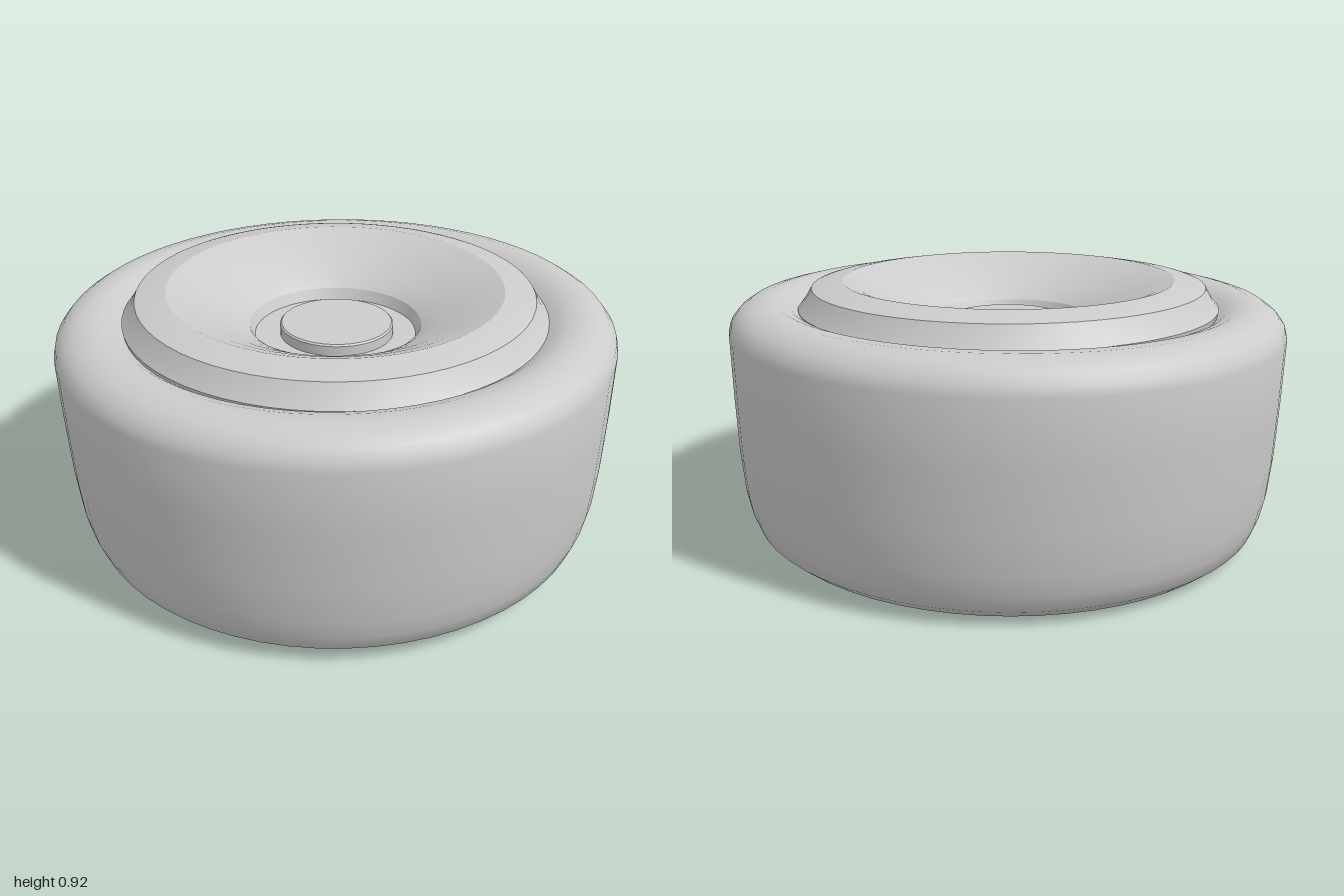
import * as THREE from 'three';
import { toCreasedNormals } from 'three/addons/utils/BufferGeometryUtils.js';

const SEGMENTS = 64;

// Revolve a [radius, height] profile, keeping edges sharper than the crease angle
function revolve(name, profile, crease, side = THREE.FrontSide) {
  const points = profile.map(([r, y]) => new THREE.Vector2(r, y));
  const geometry = toCreasedNormals(new THREE.LatheGeometry(points, SEGMENTS), crease);
  const mesh = new THREE.Mesh(geometry, new THREE.MeshStandardMaterial({ color: 0xcccccc, side }));
  mesh.name = name;
  return mesh;
}

export function createModel() {
  const wheel = new THREE.Group();
  wheel.name = 'wheel';

  // Tyre: closed ring with rounded shoulders, narrowing slightly downwards
  const tyre = revolve('tyre', [
    [0.745, -0.375], [0.78, -0.405], [0.85, -0.42], [0.9, -0.405], [0.94, -0.37],
    [0.962, -0.31], [0.976, -0.24], [0.988, -0.1], [0.995, 0.1], [0.999, 0.32],
    [0.99, 0.353], [0.965, 0.384], [0.93, 0.407], [0.88, 0.42], [0.83, 0.417],
    [0.785, 0.4], [0.745, 0.37], [0.745, -0.375],
  ], 0.8);
  tyre.position.y = 0.43;
  tyre.rotation.z = 0.012; // sits slightly askew on the rim
  wheel.add(tyre);

  // Rim: open barrel, raised flange, dished face and sunken hub floor
  const rim = revolve('rim', [
    [0.75, 0.13], [0.725, 0.13], [0.72, 0.16], [0.72, 0.72], [0.725, 0.745],
    [0.745, 0.75], [0.76, 0.82], [0.735, 0.85], [0.71, 0.893], [0.69, 0.899],
    [0.6, 0.915], [0.55, 0.897], [0.47, 0.86], [0.39, 0.818], [0.335, 0.787],
    [0.31, 0.768], [0.292, 0.728], [0, 0.728],
  ], 0.45, THREE.DoubleSide);
  rim.position.x = -0.005;
  wheel.add(rim);

  // Hub cap: small raised disc in the middle of the dish
  wheel.add(revolve('hubCap', [
    [0.205, 0.726], [0.205, 0.764], [0.199, 0.77], [0, 0.77],
  ], 0.5));

  return wheel;
}
